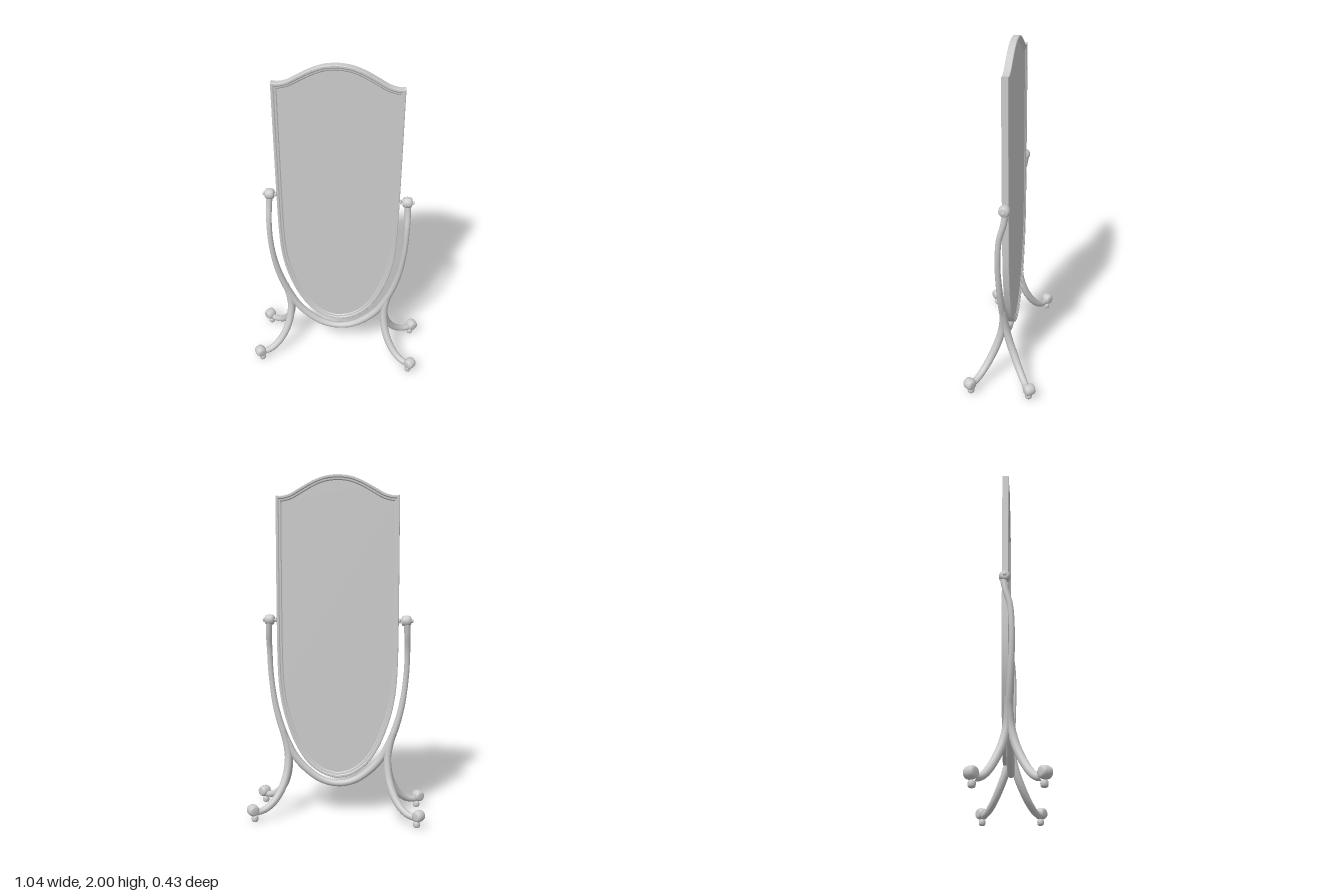
import * as THREE from 'three';
import { toCreasedNormals } from 'three/addons/utils/BufferGeometryUtils.js';

const material = new THREE.MeshStandardMaterial({ color: 0xcccccc });
const V = (p) => new THREE.Vector3(...p);

function add(parent, name, geometry, position = [0, 0, 0]) {
  const mesh = new THREE.Mesh(geometry, material);
  mesh.name = name;
  mesh.position.set(...position);
  parent.add(mesh);
  return mesh;
}

// Round tube along a smooth path, with a radius that varies along its length
function taperedTube(points, radiusAt, segments, sides = 14) {
  const curve = new THREE.CatmullRomCurve3(points.map(V));
  const geometry = new THREE.TubeGeometry(curve, segments, 1, sides);
  const pos = geometry.attributes.position;
  const v = new THREE.Vector3();
  for (let i = 0; i < pos.count; i++) {
    const t = Math.floor(i / (sides + 1)) / segments;
    const centre = curve.getPointAt(t);
    v.fromBufferAttribute(pos, i).sub(centre).multiplyScalar(radiusAt(t)).add(centre);
    pos.setXYZ(i, v.x, v.y, v.z);
  }
  return geometry;
}

// Short barrel with softened rims, its axis along y
function barrel(radius, length) {
  const h = length / 2;
  const profile = [[0, -h], [0.55, -h], [0.82, -h * 0.85], [0.96, -h * 0.5], [1, 0],
    [0.96, h * 0.5], [0.82, h * 0.85], [0.55, h], [0, h]];
  return new THREE.LatheGeometry(profile.map(([r, y]) => new THREE.Vector2(r * radius, y)), 24);
}

// Shield outline, anticlockwise from the bottom centre
function shieldOutline() {
  const sample = (pts, n) => new THREE.SplineCurve(pts.map((p) => new THREE.Vector2(...p))).getPoints(n);
  const side = sample([[0, 0.235], [0.08, 0.255], [0.15, 0.3], [0.2, 0.355], [0.25, 0.44], [0.29, 0.54],
    [0.322, 0.65], [0.342, 0.77], [0.35, 0.9], [0.353, 1.1], [0.353, 1.5], [0.352, 1.885]], 48);
  const top = sample([[0.352, 1.885], [0.32, 1.882], [0.27, 1.895], [0.21, 1.929], [0.14, 1.967],
    [0.07, 1.992], [0, 2]], 24);
  const half = [...side, ...top.slice(1)];
  const mirrored = half.slice(1, -1).reverse().map((p) => new THREE.Vector2(-p.x, p.y));
  return [...half, ...mirrored];
}

// Move every point of a closed outline inwards, mitring the corners
function inset(outline, distance) {
  const n = outline.length;
  return outline.map((p, i) => {
    const a = p.clone().sub(outline[(i + n - 1) % n]).normalize();
    const b = outline[(i + 1) % n].clone().sub(p).normalize();
    const na = new THREE.Vector2(-a.y, a.x);
    const nb = new THREE.Vector2(-b.y, b.x);
    const miter = na.clone().add(nb).normalize();
    return p.clone().addScaledVector(miter, distance / miter.dot(na));
  });
}

// Sweep a closed moulding profile of [inset, z] around the outline
function moulding(outline, profile) {
  const n = outline.length;
  const positions = [];
  const index = [];
  profile.forEach(([d, z]) => inset(outline, d).forEach((p) => positions.push(p.x, p.y, z)));
  for (let k = 0; k < profile.length; k++) {
    const k2 = (k + 1) % profile.length;
    for (let i = 0; i < n; i++) {
      const j = (i + 1) % n;
      const a = k * n + i, b = k * n + j, c = k2 * n + j, d = k2 * n + i;
      index.push(a, b, c, a, c, d);
    }
  }
  const geometry = new THREE.BufferGeometry();
  geometry.setAttribute('position', new THREE.Float32BufferAttribute(positions, 3));
  geometry.setIndex(index);
  return toCreasedNormals(geometry, 0.5);
}

export function createModel() {
  const model = new THREE.Group();
  model.name = 'chevalMirror';

  // Mirror: moulded frame, the same front and back, around a flat panel
  const mirror = new THREE.Group();
  mirror.name = 'mirror';
  model.add(mirror);
  const outline = shieldOutline();
  const mid = -0.019;
  const front = [[0, 0.016], [0.003, 0.019], [0.013, 0.019], [0.018, 0.014], [0.027, 0.013], [0.034, 0.006]];
  const profile = [
    ...front.map(([d, z]) => [d, mid + z]),
    ...front.slice().reverse().map(([d, z]) => [d, mid - z]),
  ];
  add(mirror, 'frame', moulding(outline, profile));
  const panel = new THREE.ExtrudeGeometry(new THREE.Shape(inset(outline, 0.03)), { depth: 0.016, bevelEnabled: false });
  add(mirror, 'mirrorPanel', panel, [0, 0, mid - 0.008]);

  // Stand: one continuous yoke from pivot to pivot under the mirror
  const stand = new THREE.Group();
  stand.name = 'stand';
  model.add(stand);
  const post = [[0.399, 1.17, -0.03], [0.404, 1.09, -0.016], [0.405, 1.0, 0.008], [0.4, 0.85, 0.018],
    [0.378, 0.68, 0.014], [0.345, 0.55, 0.008], [0.305, 0.445, 0.003], [0.255, 0.35, 0.003],
    [0.19, 0.277, 0.004], [0.1, 0.213, 0.005]];
  const yoke = [...post, [0, 0.19, 0.005], ...post.slice().reverse().map(([x, y, z]) => [-x, y, z])];
  add(stand, 'yoke', taperedTube(yoke, (t) => 0.019 + 0.003 * Math.sin(Math.PI * 4 * Math.abs(t - 0.5)), 120));

  for (const side of [1, -1]) {
    const sideName = side > 0 ? 'left' : 'right';

    // Pivot: scroll on top of the post, pin, collar and end knob
    const pivot = new THREE.Group();
    pivot.name = sideName + 'Pivot';
    pivot.position.set(0, 1.175, -0.021);
    stand.add(pivot);
    const turned = [
      ['scroll', barrel(0.032, 0.056), 0.397],
      ['pin', new THREE.CylinderGeometry(0.007, 0.007, 0.09, 12), 0.385],
      ['collar', barrel(0.014, 0.01), 0.36],
      ['knob', barrel(0.011, 0.012), 0.431],
    ];
    for (const [name, geometry, x] of turned) {
      add(pivot, name, geometry, [side * x, 0, 0]).rotation.z = Math.PI / 2;
    }

    // Legs: splayed front and back, each ending in a scroll on a small foot
    for (const dir of [1, -1]) {
      const leg = new THREE.Group();
      leg.name = sideName + (dir > 0 ? 'FrontLeg' : 'BackLeg');
      stand.add(leg);
      const path = [[0.33, 0.51, 0.004], [0.308, 0.43, 0.005], [0.296, 0.35, 0.012], [0.302, 0.26, 0.034],
        [0.326, 0.175, 0.068], [0.367, 0.105, 0.105], [0.415, 0.065, 0.138], [0.465, 0.052, 0.166]]
        .map(([x, y, z]) => [side * x, y, dir * z]);
      add(leg, 'leg', taperedTube(path, (t) => 0.015 + 0.008 * Math.sin(Math.PI * Math.min(1, 0.12 + t * 0.75)), 40));
      const scroll = add(leg, 'legScroll', barrel(0.034, 0.062), [side * 0.481, 0.07, dir * 0.175]);
      const across = new THREE.Vector3(-side * 0.6, 0, dir * 0.8);
      scroll.quaternion.setFromUnitVectors(new THREE.Vector3(0, 1, 0), across);
      add(leg, 'foot', barrel(0.02, 0.036), [side * 0.471, 0.018, dir * 0.171]);
    }
  }
  return model;
}
